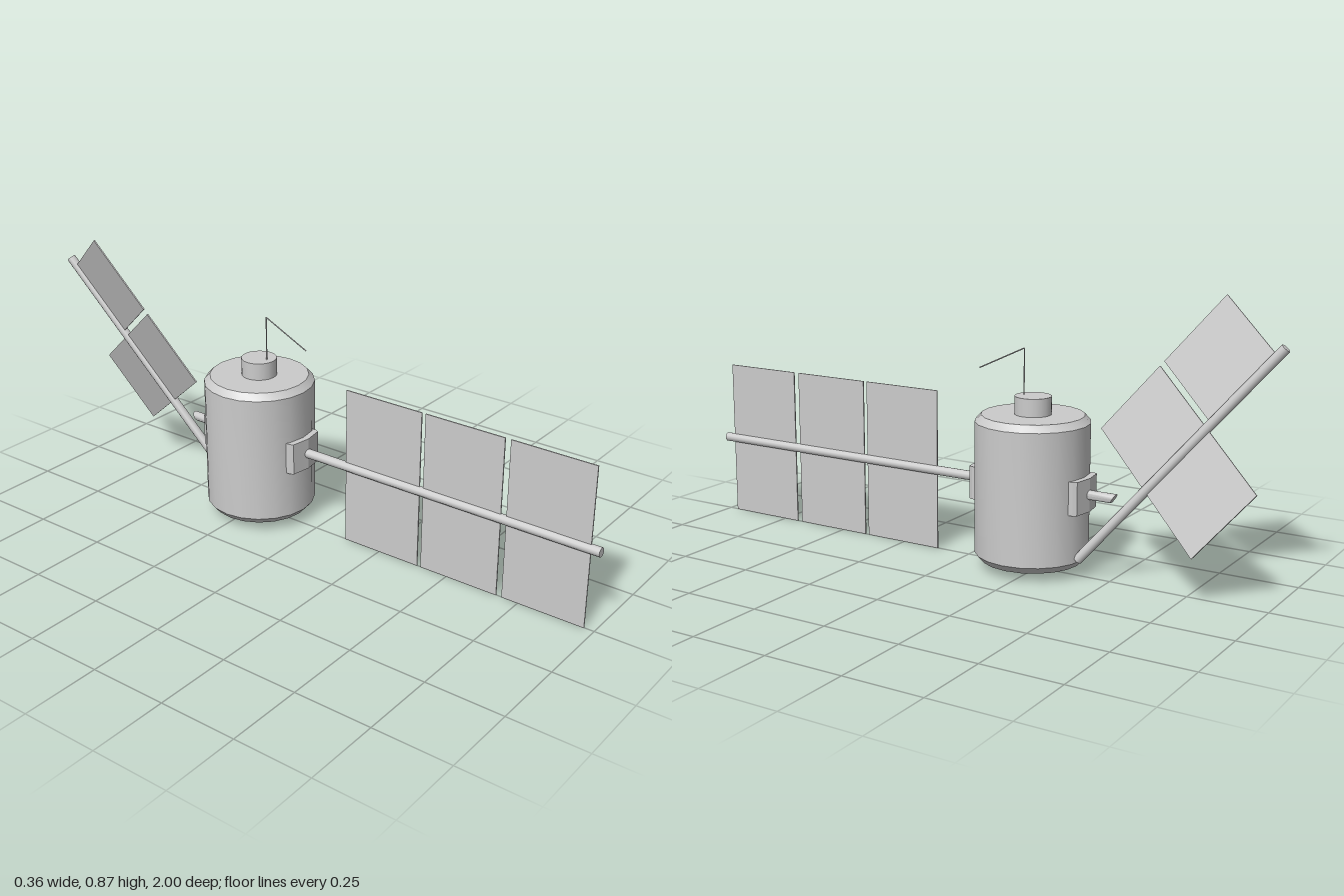
import * as THREE from 'three';
import { toCreasedNormals } from 'three/addons/utils/BufferGeometryUtils.js';

const material = new THREE.MeshStandardMaterial({ color: 0xcccccc });
const BODY_Z = -0.23;
const BOOM_Y = 0.26;
const BOOM_R = 0.015;

function add(parent, name, geometry) {
  const mesh = new THREE.Mesh(geometry, material);
  mesh.name = name;
  parent.add(mesh);
  return mesh;
}

// Rod lying along z, from z0 to z1
function rodZ(radius, z0, z1, sides = 12) {
  return new THREE.CylinderGeometry(radius, radius, z1 - z0, sides)
    .rotateX(Math.PI / 2)
    .translate(0, 0, (z0 + z1) / 2);
}

// Thin rod between two points
function wire(parent, name, a, b, radius) {
  const dir = b.clone().sub(a);
  const mesh = add(parent, name, new THREE.CylinderGeometry(radius, radius, dir.length(), 6));
  mesh.position.copy(a).add(b).multiplyScalar(0.5);
  mesh.quaternion.setFromUnitVectors(new THREE.Vector3(0, 1, 0), dir.normalize());
}

// Boom with its tip at the origin, running back along -z; panels are [near, far, bottom, top]
function solarWing(name, length, panels) {
  const wing = new THREE.Group();
  wing.name = name;
  add(wing, 'boom', rodZ(BOOM_R, -length, 0));
  for (const [near, far, bottom, top] of panels) {
    const panel = add(wing, 'solarPanel', new THREE.BoxGeometry(0.004, top - bottom, far - near));
    panel.position.set(0, (top + bottom) / 2, -(near + far) / 2);
  }
  return wing;
}

export function createModel() {
  const model = new THREE.Group();
  model.name = 'satellite';

  // Bevelled drum body
  const profile = [[0, 0.03], [0.159, 0.03], [0.178, 0.052], [0.178, 0.465], [0.159, 0.486], [0, 0.486]]
    .map(([r, y]) => new THREE.Vector2(r, y));
  const drum = add(model, 'body', toCreasedNormals(new THREE.LatheGeometry(profile, 20), 0.5));
  drum.position.z = BODY_Z;

  // Cap on the roof
  const cap = add(model, 'topCap', new THREE.CylinderGeometry(0.057, 0.057, 0.07, 20));
  cap.position.set(0, 0.507, BODY_Z);

  // Bent antenna
  const bend = new THREE.Vector3(0, 0.685, -0.198);
  wire(model, 'antennaMast', new THREE.Vector3(0, 0.53, -0.198), bend, 0.002);
  wire(model, 'antennaArm', bend, new THREE.Vector3(0, 0.61, -0.04), 0.002);

  // Curved mounting plates, front and back
  const plate = new THREE.Shape(
    [[-0.069, 0.15], [0.069, 0.15], [0.069, 0.176], [0.063, 0.188], [0, 0.198], [-0.063, 0.188], [-0.069, 0.176]]
      .map(([x, y]) => new THREE.Vector2(x, y)));
  for (const [name, turn] of [['frontMount', 0], ['backMount', Math.PI]]) {
    const geometry = new THREE.ExtrudeGeometry(plate, { depth: 0.104, bevelEnabled: false }).rotateX(Math.PI / 2);
    const mount = add(model, name, geometry);
    mount.position.set(0, 0.311, BODY_Z);
    mount.rotation.y = turn;
  }

  // Intact wing at the front
  const h = 0.26;
  const front = solarWing('frontWing', 1.06,
    [[0.032, 0.305, -h, h], [0.324, 0.594, -h, h], [0.607, 0.882, -h, h]]);
  front.position.set(0, BOOM_Y, 1);
  model.add(front);

  // Snapped stub at the back, with a slanted end
  const stub = rodZ(BOOM_R, -0.508, -0.39);
  const pos = stub.attributes.position;
  for (let i = 0; i < pos.count; i++) {
    if (pos.getZ(i) < -0.5) pos.setZ(i, -0.508 - pos.getY(i) * 0.6);
  }
  stub.computeVertexNormals();
  add(model, 'brokenStub', toCreasedNormals(stub, 0.7)).position.y = BOOM_Y;

  // Broken-off wing leaning on the body, missing a half panel and its inner panel
  const tip = new THREE.Vector3(-0.078, 0.745, -0.985);
  const foot = new THREE.Vector3(0.03, 0.06, -0.405);
  const along = tip.clone().sub(foot);
  const length = along.length();
  along.normalize();
  const side = new THREE.Vector3().crossVectors(new THREE.Vector3(-0.36, 0.574, 0.737), along).normalize();
  const up = new THREE.Vector3().crossVectors(along, side);
  const loose = solarWing('brokenWing', length, [[0.032, 0.305, 0, h], [0.324, 0.594, -h, h]]);
  loose.quaternion.setFromRotationMatrix(new THREE.Matrix4().makeBasis(side, up, along));
  loose.position.copy(tip);
  model.add(loose);

  return model;
}
